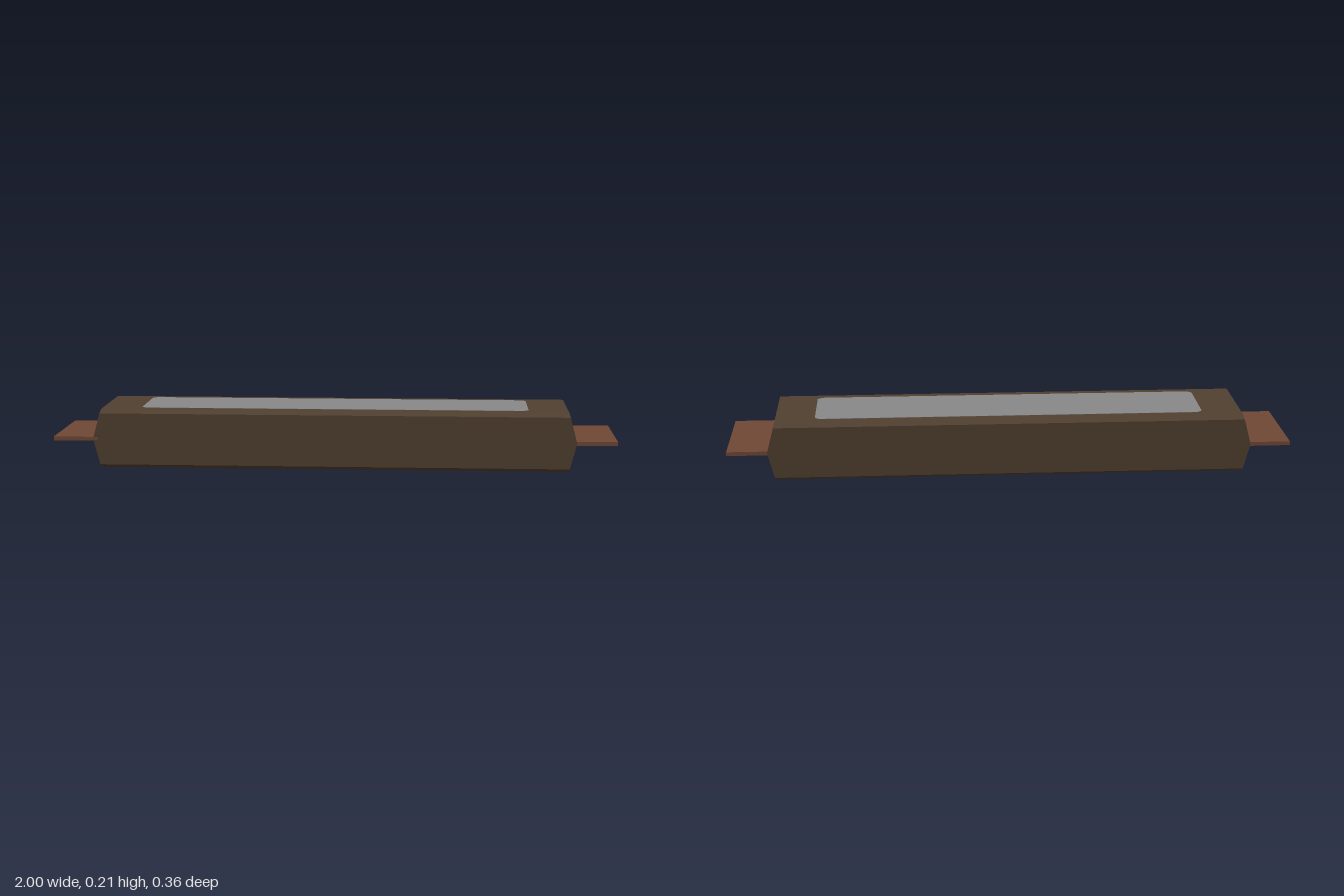
import * as THREE from 'three';
import { ConvexGeometry } from 'three/addons/geometries/ConvexGeometry.js';

const MID = 0.106; // height of the centre plane

function material(name, color) {
  const m = new THREE.MeshStandardMaterial({ color });
  m.name = name;
  return m;
}

export function createModel() {
  const group = new THREE.Group();
  group.name = 'foilCapsule';
  const brown = material('dark brown', 0x504030);
  const copper = material('copper brown', 0x704836);
  const grey = material('mid grey', 0x888888);

  const add = (name, geometry, mat, x, y, z) => {
    const mesh = new THREE.Mesh(geometry, mat);
    mesh.name = name;
    mesh.position.set(x, y, z);
    group.add(mesh);
    return mesh;
  };

  // Body: bar with chamfered long edges and ends pointed at mid height
  const points = [];
  for (const sx of [-1, 1]) {
    for (const sz of [-1, 1]) {
      points.push(new THREE.Vector3(sx * 0.858, 0, sz * 0.18));
      for (const [h, z] of [[0.092, 0.18], [0.106, 0.157]]) {
        const x = sx * (0.858 - 0.028 * h / 0.106);
        points.push(new THREE.Vector3(x, h, sz * z), new THREE.Vector3(x, -h, sz * z));
      }
    }
  }
  add('body', new ConvexGeometry(points), brown, 0, MID, 0);

  // Flat end tabs, set into the body
  for (const [name, s] of [['leftTab', 1], ['rightTab', -1]]) {
    add(name, new THREE.BoxGeometry(0.16, 0.014, 0.36), copper, s * 0.92, MID, 0);
  }

  // Panels with clipped corners on the top and bottom faces
  const w = 0.69, d = 0.127, c = 0.016;
  const outline = new THREE.Shape([
    [w - c, -d], [w, c - d], [w, d - c], [w - c, d],
    [c - w, d], [-w, d - c], [-w, c - d], [c - w, -d],
  ].map(([x, y]) => new THREE.Vector2(x, y)));
  const plate = new THREE.ExtrudeGeometry(outline, { depth: 0.004, bevelEnabled: false });
  plate.translate(0, 0, -0.002).rotateX(-Math.PI / 2);
  add('topPanel', plate, grey, 0, 2 * MID - 0.001, 0);
  add('bottomPanel', plate, grey, 0, 0.001, 0);

  return group;
}
